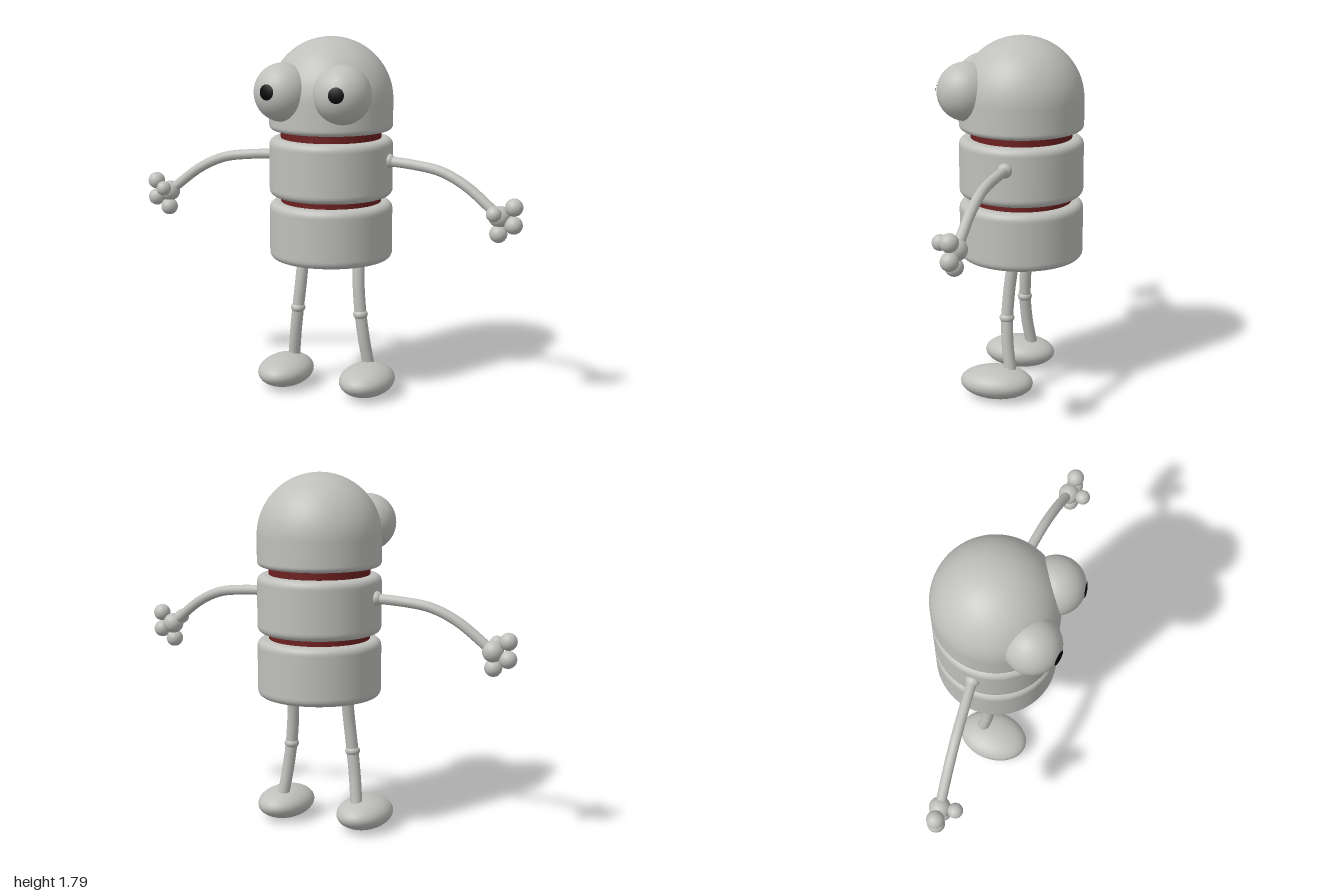
import * as THREE from 'three';

const mat = (name, color) => {
  const m = new THREE.MeshStandardMaterial({ color });
  m.name = name;
  return m;
};

const BODY_Z = -0.037, R = 0.307;

export function createModel() {
  const grey = mat('light grey', 0xbfbfbc);
  const red = mat('dark red', 0x6e2020);
  const black = mat('black', 0x050505);
  const model = new THREE.Group();
  model.name = 'robot';

  const add = (parent, name, geometry, material, x = 0, y = 0, z = 0) => {
    const mesh = new THREE.Mesh(geometry, material);
    mesh.name = name;
    mesh.position.set(x, y, z);
    parent.add(mesh);
    return mesh;
  };
  const ball = (parent, name, r, x, y, z) =>
    add(parent, name, new THREE.SphereGeometry(r, 32, 20), grey, x, y, z);
  const tube = (parent, name, points, r) => {
    const curve = new THREE.CatmullRomCurve3(points.map(p => new THREE.Vector3(...p)));
    return add(parent, name, new THREE.TubeGeometry(curve, 24, r, 16), grey);
  };
  // quarter arc of profile points, angles in quarter turns
  const arc = (cx, cy, r, from, n) => Array.from({ length: n + 1 }, (_, i) => {
    const a = (from + i / n) * Math.PI / 2;
    return new THREE.Vector2(Math.max(0, cx + r * Math.cos(a)), cy + r * Math.sin(a));
  });
  const V = (x, y) => new THREE.Vector2(x, y);

  // Rounded drum; extra rings beside the bevels keep the flats flat
  const drum = (name, y0, y1) => {
    const b = 0.035;
    const profile = [V(0, y0), V(R - b - 0.005, y0), ...arc(R - b, y0 + b, b, -1, 6), V(R, y0 + b + 0.005),
      V(R, y1 - b - 0.005), ...arc(R - b, y1 - b, b, 0, 6), V(R - b - 0.005, y1), V(0, y1)];
    add(model, name, new THREE.LatheGeometry(profile, 64), grey, 0, 0, BODY_Z);
  };
  drum('lowerBody', 0.68, 0.97);
  drum('upperBody', 1.0, 1.29);

  // Domed head
  const b = 0.025;
  const headProfile = [V(0, 1.33), V(R - b - 0.005, 1.33), ...arc(R - b, 1.33 + b, b, -1, 6),
    V(R, 1.36), ...arc(0, 1.479, R, 0, 24)];
  add(model, 'head', new THREE.LatheGeometry(headProfile, 64), grey, 0, 0, BODY_Z);

  // Recessed joints between the segments
  add(model, 'waistJoint', new THREE.CylinderGeometry(0.25, 0.25, 0.07, 64), red, 0, 0.985, BODY_Z);
  add(model, 'neckJoint', new THREE.CylinderGeometry(0.25, 0.25, 0.08, 64), red, 0, 1.31, BODY_Z);

  for (const s of [1, -1]) {
    const side = s > 0 ? 'left' : 'right';
    const group = part => {
      const g = new THREE.Group();
      g.name = side + part;
      model.add(g);
      return g;
    };

    // Eye with a thin pupil cap
    const eye = group('Eye');
    eye.position.set(s * 0.155, 1.529, 0.2);
    ball(eye, 'eyeball', 0.14, 0, 0, 0).scale.y = 1.02;
    const pupil = add(eye, 'pupil', new THREE.SphereGeometry(0.1435, 32, 6, 0, Math.PI * 2, 0, 0.27), black);
    pupil.quaternion.setFromUnitVectors(new THREE.Vector3(0, 1, 0),
      new THREE.Vector3(s * 0.023, 0.013, 0.14).normalize());

    // Arm
    const arm = group('Arm');
    ball(arm, 'shoulder', 0.036, s * 0.303, 1.187, -0.038);
    tube(arm, 'armTube', [[s * 0.29, 1.187, -0.04], [s * 0.44, 1.178, -0.025], [s * 0.58, 1.157, -0.011],
      [s * 0.71, 1.098, 0.002], [s * 0.875, 0.972, 0.018]], 0.025);

    // Hand with four round fingers
    const hand = group('Hand');
    ball(hand, 'palm', 0.052, s * 0.884, 0.965, 0.02);
    const fingers = [[0.957, 1.016, 0.028], [0.957, 0.93, 0.028], [0.884, 0.884, 0.03], [0.878, 0.99, 0.097]];
    fingers.forEach(([x, y, z], i) => ball(hand, 'finger' + (i + 1), i < 3 ? 0.043 : 0.037, s * x, y, z));

    // Leg
    const leg = group('Leg');
    tube(leg, 'thigh', [[s * 0.15, 0.7, -0.038], [s * 0.157, 0.55, -0.019], [s * 0.171, 0.403, -0.01]], 0.03);
    ball(leg, 'knee', 0.037, s * 0.171, 0.403, -0.01).scale.y = 0.75;
    tube(leg, 'shin', [[s * 0.171, 0.403, -0.01], [s * 0.188, 0.27, -0.018], [s * 0.208, 0.12, -0.04]], 0.03);

    // Foot
    ball(model, side + 'Foot', 1, s * 0.223, 0.079, 0.029).scale.set(0.134, 0.079, 0.184);
  }
  return model;
}
